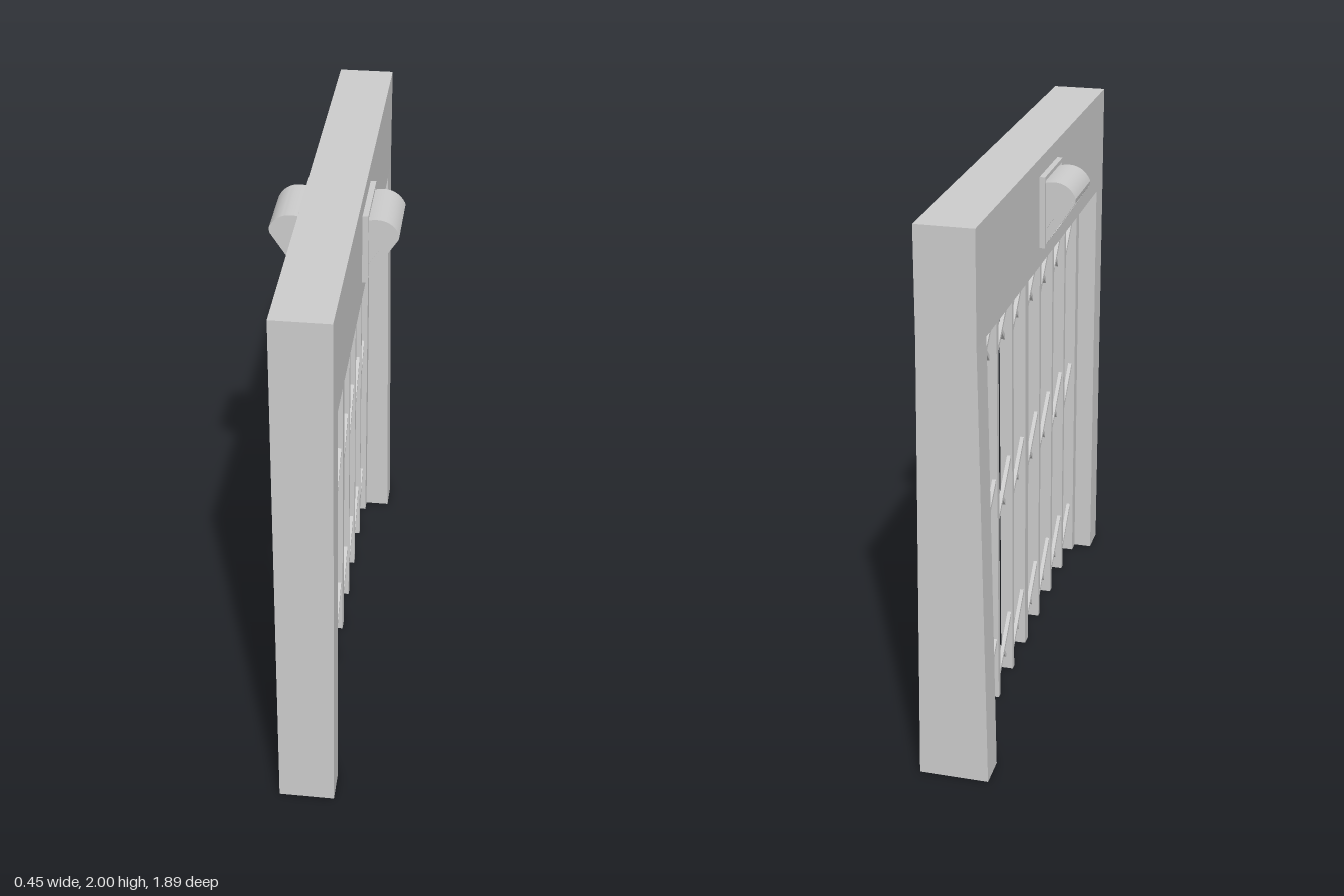
import * as THREE from 'three';
import { toCreasedNormals } from 'three/addons/utils/BufferGeometryUtils.js';

const material = new THREE.MeshStandardMaterial({ color: 0xcccccc });
const flat = new THREE.MeshStandardMaterial({ color: 0xcccccc, flatShading: true });

function add(parent, name, geometry, mat = material) {
  const mesh = new THREE.Mesh(geometry, mat);
  mesh.name = name;
  parent.add(mesh);
  return mesh;
}

function box(parent, name, w, h, d, x, y, z) {
  const mesh = add(parent, name, new THREE.BoxGeometry(w, h, d));
  mesh.position.set(x, y, z);
  return mesh;
}

// Rectangular ring, extruded along +z
function ring(w, h, innerW, innerH, depth) {
  const rect = (Type, a, b) => new Type([[-a, -b], [a, -b], [a, b], [-a, b]]
    .map(([x, y]) => new THREE.Vector2(x / 2, y / 2)));
  const shape = rect(THREE.Shape, w, h);
  shape.holes.push(rect(THREE.Path, innerW, innerH));
  return new THREE.ExtrudeGeometry(shape, { depth, bevelEnabled: false });
}

// Wall lamp facing +z, with z measured from the middle of the wall
function createLamp() {
  const lamp = new THREE.Group();
  lamp.name = 'wallLamp';

  // Mounting plate with raised rim
  box(lamp, 'lampPlate', 0.26, 0.25, 0.02, 0, 1.808, 0.1);
  add(lamp, 'lampPlateRim', ring(0.266, 0.256, 0.238, 0.228, 0.025)).position.set(0, 1.808, 0.095);

  // Hood: rounded top, sloping underside
  const width = 0.234;
  const s = new THREE.Shape();
  s.moveTo(0.09, 1.70);
  s.lineTo(0.197, 1.861);
  s.lineTo(0.222, 1.845);
  s.lineTo(0.225, 1.862);
  s.bezierCurveTo(0.205, 1.91, 0.16, 1.928, 0.105, 1.908);
  s.lineTo(0.09, 1.905);
  const hood = new THREE.ExtrudeGeometry(s, { depth: width, bevelEnabled: false, curveSegments: 16 });
  hood.translate(0, 0, -width / 2);
  hood.rotateY(-Math.PI / 2);
  add(lamp, 'lampHood', toCreasedNormals(hood, 0.5));

  // Sloping lens frame with a recessed, bevelled reflector
  const lens = new THREE.Group();
  lens.name = 'lampLens';
  lens.position.set(0, 1.765, 0.1695);
  lens.rotation.x = 0.581;
  lamp.add(lens);
  add(lens, 'lensFrame', ring(width, 0.191, 0.206, 0.16, 0.03)).position.z = -0.03;
  const reflector = new THREE.PlaneGeometry(0.206, 0.16, 3, 3);
  const p = reflector.attributes.position;
  for (let i = 0; i < p.count; i++) {
    const x = p.getX(i), y = p.getY(i);
    const border = Math.abs(x) > 0.1 || Math.abs(y) > 0.07;
    p.setXYZ(i, Math.sign(x) * (border ? 0.103 : 0.056),
      Math.sign(y) * (border ? 0.08 : 0.04), border ? -0.003 : -0.028);
  }
  add(lens, 'lensReflector', reflector, flat);
  return lamp;
}

export function createModel() {
  const model = new THREE.Group();
  model.name = 'gateway';
  const opening = 1.61;

  // Portal: lintel, straight front pillar, flared rear pillar
  box(model, 'lintel', 0.2, 2 - opening, 1.89, 0, (2 + opening) / 2, 0);
  box(model, 'frontPillar', 0.2, opening, 0.115, 0, opening / 2, 0.8875);
  const rear = box(model, 'rearPillar', 0.2, opening, 0.115, 0, opening / 2, -0.8875);
  const p = rear.geometry.attributes.position;
  for (let i = 0; i < p.count; i++) {
    if (p.getY(i) < 0) p.setX(i, Math.sign(p.getX(i)) * 0.124);
  }
  rear.geometry.computeVertexNormals();

  // Folding gate: jambs and upright bars
  const gate = new THREE.Group();
  gate.name = 'foldingGate';
  model.add(gate);
  const bay = 0.206;
  for (const side of [-1, 1]) {
    box(gate, 'gateJamb', 0.06, opening, 0.05, 0, opening / 2, side * 0.807);
  }
  for (let i = -3; i <= 3; i++) {
    box(gate, 'gateUpright', 0.045, opening, i === 0 ? 0.046 : 0.024, 0, opening / 2, i * bay);
  }

  // Crossed lattice bars in three rows
  for (const y of [0.15, 0.805, 1.46]) {
    for (let i = -4; i < 4; i++) {
      for (const side of [-1, 1]) {
        const bar = box(gate, 'latticeBar', 0.014, 0.014, bay * Math.SQRT2,
          side * 0.01, y, (i + 0.5) * bay);
        bar.rotation.x = side * Math.PI / 4;
      }
    }
  }

  // Lamps on both faces of the lintel
  for (const side of [-1, 1]) {
    const lamp = createLamp();
    lamp.rotation.y = side * Math.PI / 2;
    model.add(lamp);
  }
  return model;
}
